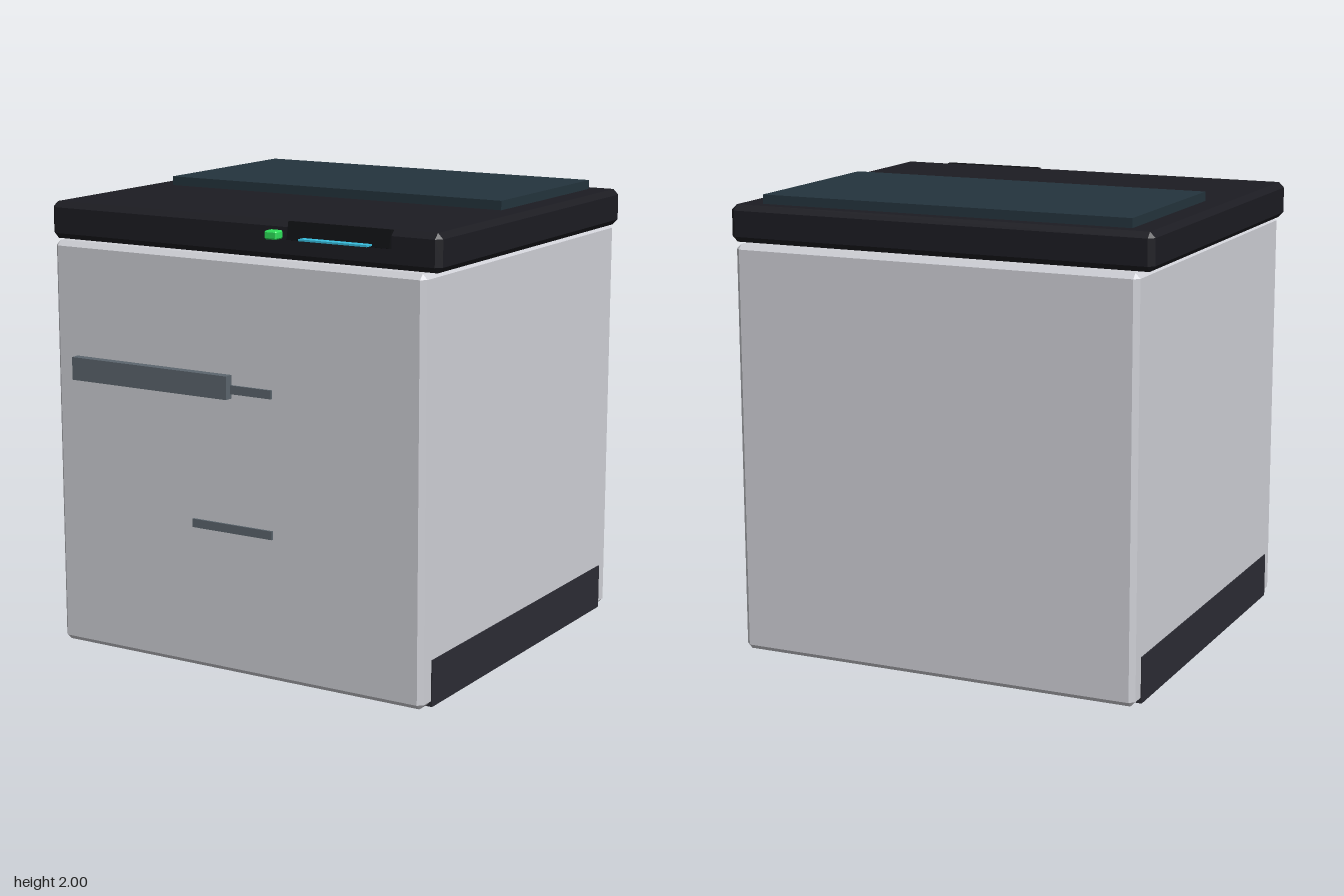
import * as THREE from 'three';
import { ConvexGeometry } from 'three/addons/geometries/ConvexGeometry.js';

// Box with chamfered edges, as the hull of its 24 corner points
function chamferBox(w, h, d, c) {
  const half = [w / 2, h / 2, d / 2];
  const points = [];
  for (const sx of [-1, 1]) for (const sy of [-1, 1]) for (const sz of [-1, 1]) {
    const s = [sx, sy, sz];
    for (let axis = 0; axis < 3; axis++) {
      points.push(new THREE.Vector3(...s.map((v, i) => v * (half[i] - (i === axis ? 0 : c)))));
    }
  }
  return new ConvexGeometry(points);
}

export function createModel() {
  const group = new THREE.Group();
  const paint = (color) => new THREE.MeshStandardMaterial({ color });
  const shell = paint(0xcfd0d6), lidBlack = paint(0x1c1c22), baseDark = paint(0x2c2c34);
  const glass = paint(0x24343d), metal = paint(0x5c666e), panelBlack = paint(0x101114);
  const green = paint(0x2ee05a), cyan = paint(0x38bfe0);

  // Place a block by its extents along each axis; chamfer is optional
  function block(name, material, [x0, x1], [y0, y1], [z0, z1], chamfer = 0) {
    const size = [x1 - x0, y1 - y0, z1 - z0];
    const geometry = chamfer ? chamferBox(...size, chamfer) : new THREE.BoxGeometry(...size);
    const mesh = new THREE.Mesh(geometry, material);
    mesh.name = name;
    mesh.position.set((x0 + x1) / 2, (y0 + y1) / 2, (z0 + z1) / 2);
    group.add(mesh);
    return mesh;
  }

  // Cabinet and plinth
  block('body', shell, [-0.915, 0.915], [0.003, 1.8], [-0.9, 0.86], 0.022);
  block('base', baseDark, [-0.92, 0.92], [0, 0.2], [-0.82, 0.78]);

  // Lid with raised glass panel
  block('lid', lidBlack, [-0.96, 0.96], [1.8, 1.96], [-0.86, 0.82], 0.024);
  block('glassPanel', glass, [-0.84, 0.84], [1.94, 2], [-0.78, 0.075]);

  // Front handle and drawer slots
  block('handle', metal, [-0.8, 0], [1.205, 1.305], [0.84, 0.9]);
  block('upperSlot', metal, [-0.2, 0.2], [1.225, 1.262], [0.84, 0.87]);
  block('lowerSlot', metal, [-0.2, 0.2], [0.625, 0.662], [0.84, 0.87]);

  // Control strip, leaning back slightly
  const strip = block('controlPanel', panelBlack, [0.26, 0.74], [1.883, 1.96], [0.795, 0.83]);
  strip.rotation.x = -0.2;
  block('display', cyan, [0.34, 0.66], [1.892, 1.9], [0.82, 0.875]);
  block('button', green, [0.17, 0.23], [1.886, 1.922], [0.81, 0.868], 0.006);

  return group;
}
